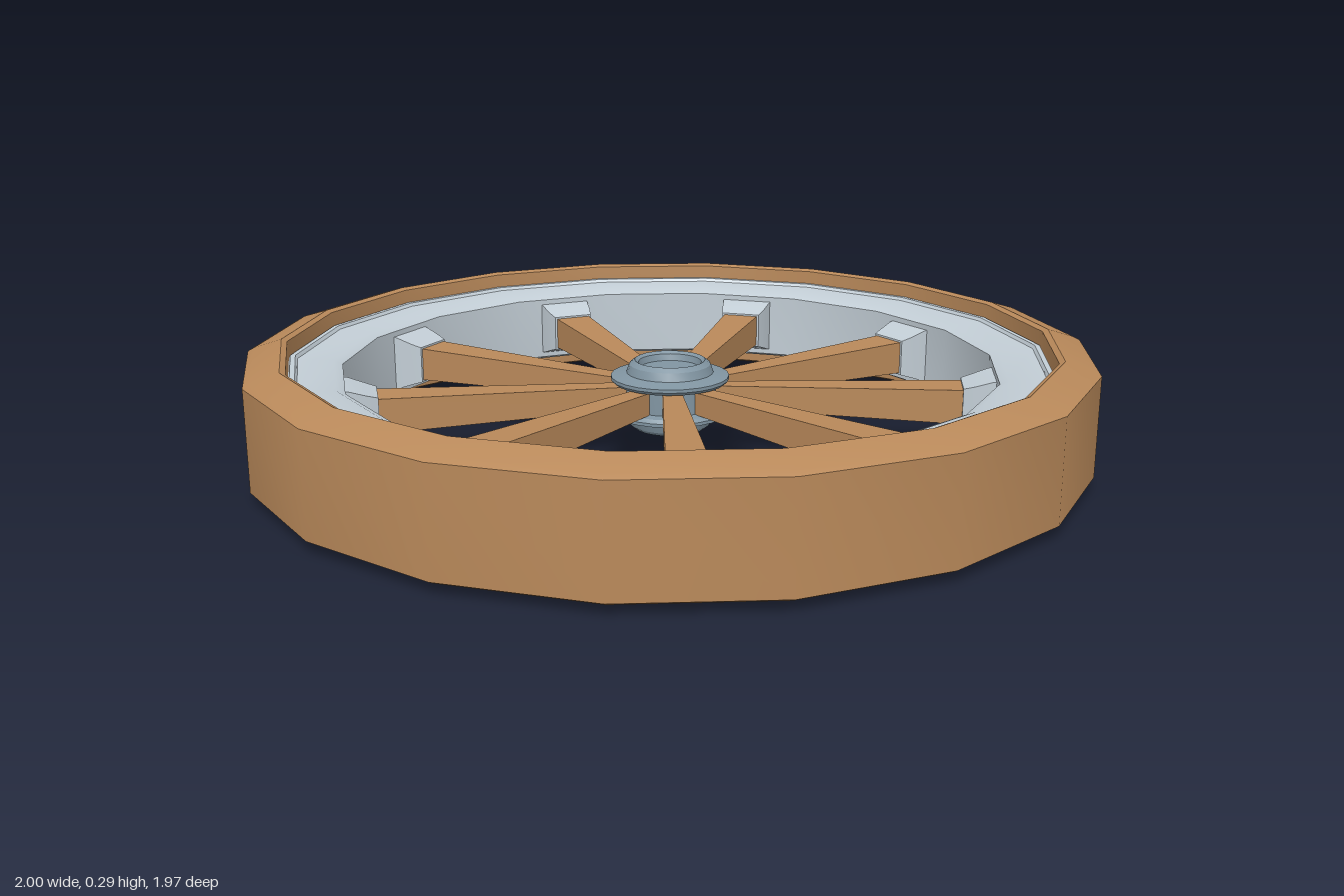
import * as THREE from 'three';
import { toCreasedNormals } from 'three/addons/utils/BufferGeometryUtils.js';

const MID = 0.147; // height of the wheel's middle plane

function material(name, color) {
  const m = new THREE.MeshStandardMaterial({ color });
  m.name = name;
  return m;
}

// Ring turned from a closed half profile [radius, height above the middle], mirrored below it
function ring(name, half, sides, mat) {
  const lower = half.slice().reverse().map(([r, y]) => [r, -y]);
  // half runs from outside to inside over the top; lower returns underneath
  const points = [...half, ...lower, half[0]].map(([r, y]) => new THREE.Vector2(r, y));
  const geo = toCreasedNormals(new THREE.LatheGeometry(points, sides, Math.PI / 2), 0.45);
  const mesh = new THREE.Mesh(geo, mat);
  mesh.name = name;
  mesh.position.y = MID;
  return mesh;
}

// Square bar along +z from stations [z, half width, half height]
function taperedBar(name, stations, mat) {
  const pos = [], index = [];
  for (const [z, w, h] of stations) pos.push(-w, -h, z, w, -h, z, w, h, z, -w, h, z);
  for (let s = 0; s < stations.length - 1; s++) {
    for (let i = 0; i < 4; i++) {
      const a = s * 4 + i, b = s * 4 + (i + 1) % 4;
      index.push(a, b, b + 4, a, b + 4, a + 4);
    }
  }
  const e = (stations.length - 1) * 4;
  index.push(0, 2, 1, 0, 3, 2, e, e + 1, e + 2, e, e + 2, e + 3);
  const geo = new THREE.BufferGeometry();
  geo.setAttribute('position', new THREE.Float32BufferAttribute(pos, 3));
  geo.setIndex(index);
  const mesh = new THREE.Mesh(toCreasedNormals(geo, 0.3), mat);
  mesh.name = name;
  return mesh;
}

export function createModel() {
  const wood = material('wood', 0xb9895a);
  const silver = material('pale metal', 0xc3ced6);
  const steel = material('blue grey metal', 0x8195a2);
  const wheel = new THREE.Group();
  wheel.name = 'wheel';

  // Wooden tyre with bevelled shoulders, and the metal rim inside it
  wheel.add(ring('tyre', [[1, 0.118], [0.985, 0.126], [0.92, 0.146], [0.907, 0.14], [0.905, 0.085]], 18, wood));
  wheel.add(ring('rim', [[0.91, 0.09], [0.902, 0.106], [0.89, 0.106], [0.885, 0.098], [0.8, 0.092], [0.78, 0.083]], 18, silver));

  // Nine spokes, each ending in a flared metal socket
  for (let i = 0; i < 9; i++) {
    const arm = new THREE.Group();
    arm.name = 'spokeArm' + (i + 1);
    arm.position.y = MID;
    arm.rotation.y = i * Math.PI * 2 / 9;
    arm.add(taperedBar('spoke', [[0.08, 0.022, 0.026], [0.72, 0.048, 0.042]], wood));
    arm.add(taperedBar('socket', [[0.695, 0.053, 0.046], [0.72, 0.06, 0.054], [0.76, 0.067, 0.068], [0.785, 0.07, 0.072]], silver));
    wheel.add(arm);
  }

  // Hub: waist between two flanges, with a raised collar around a sunken disc
  const hub = new THREE.Group();
  hub.name = 'hub';
  hub.add(ring('hubBody', [
    [0.115, 0.026], [0.135, 0.03], [0.143, 0.038], [0.143, 0.046], [0.105, 0.054],
    [0.098, 0.074], [0.085, 0.084], [0.076, 0.078], [0.072, 0.062], [0, 0.062],
  ], 24, steel));
  wheel.add(hub);
  return wheel;
}
